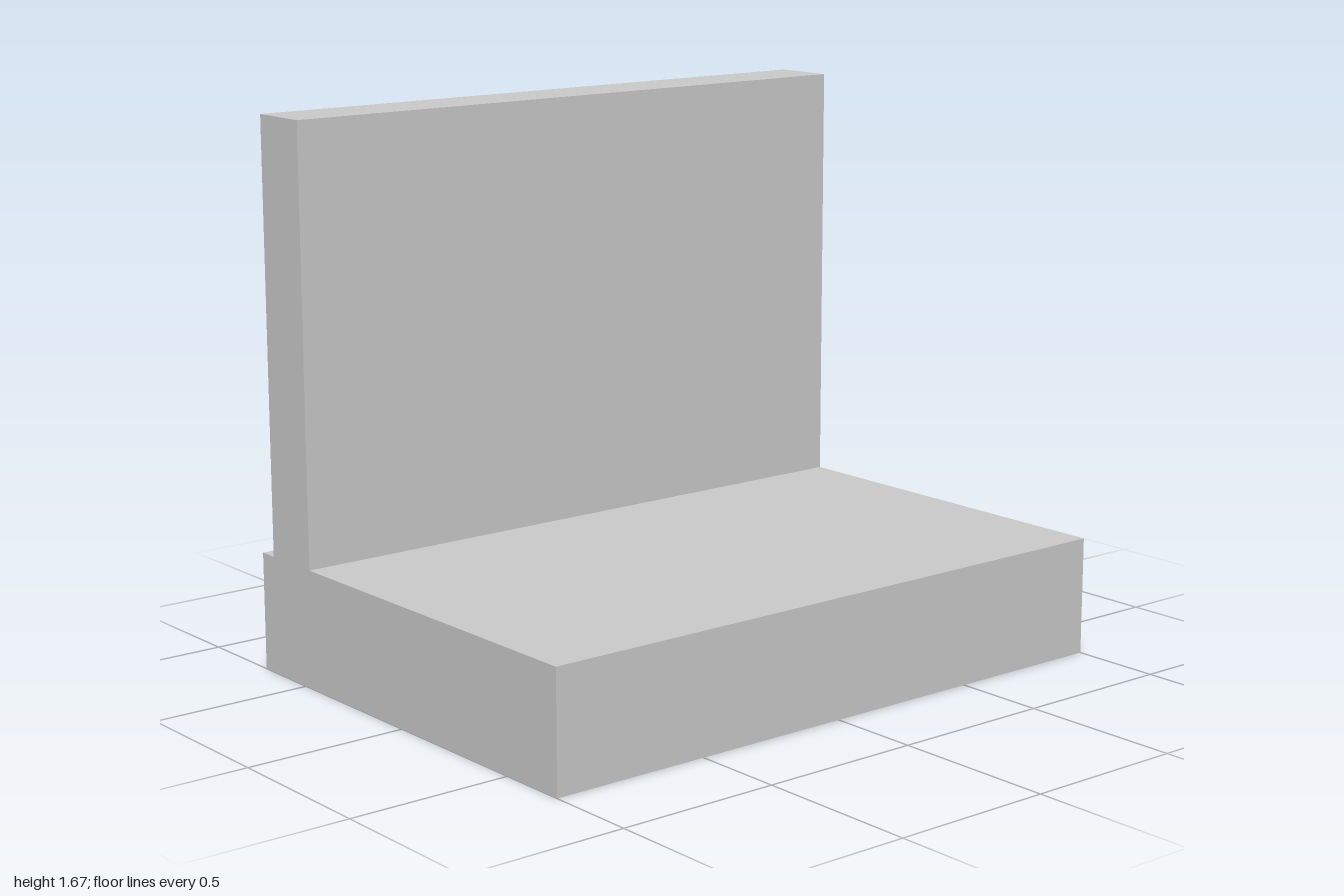
import * as THREE from 'three';

export function createModel() {
  const group = new THREE.Group();
  group.name = 'seatBlock';
  const width = 2, halfDepth = 0.72, baseTop = 0.36, wallTop = 1.67;
  const wallFront = -0.465, wallBack = -0.66;

  // Side profile as [z, y]: thick slab with an upright wall near the back
  const profile = [
    [halfDepth, 0], [-halfDepth, 0], [-halfDepth, baseTop], [wallBack, baseTop],
    [wallBack, wallTop], [wallFront, wallTop], [wallFront, baseTop], [halfDepth, baseTop],
  ];
  const shape = new THREE.Shape(profile.map(([z, y]) => new THREE.Vector2(-z, y)));

  // Sweep the profile across the full width, then turn it to face +z
  const geometry = new THREE.ExtrudeGeometry(shape, { depth: width, bevelEnabled: false });
  geometry.translate(0, 0, -width / 2).rotateY(Math.PI / 2);

  const body = new THREE.Mesh(geometry, new THREE.MeshStandardMaterial({ color: 0xcccccc }));
  body.name = 'baseAndBackWall';
  group.add(body);
  return group;
}
